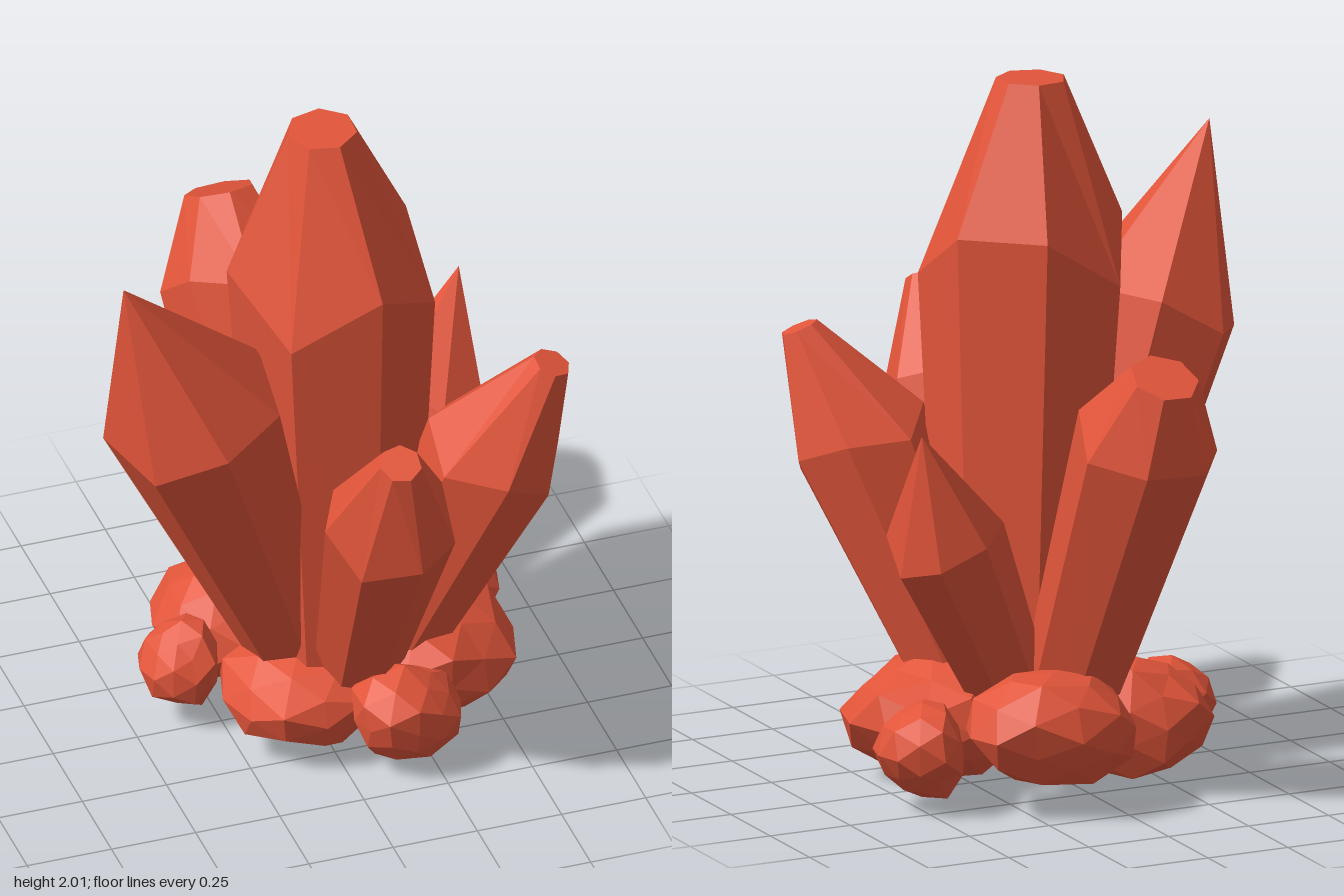
import * as THREE from 'three';

const V = (a) => new THREE.Vector3(...a);

// Faceted crystal: base, shoulder and tip rings; the tip is a flat cut or a point
function crystalGeometry({ base, shoulder, tip, radii, phase, jag }) {
  const sides = 7;
  const b = V(base), s = V(shoulder), t = V(tip);
  const axis = s.clone().sub(b).normalize();
  const u = new THREE.Vector3(1, 0, 0).addScaledVector(axis, -axis.x).normalize();
  const v = u.clone().cross(axis);
  const ring = (center, r, jitter) => Array.from({ length: sides }, (_, i) => {
    const a = THREE.MathUtils.degToRad(phase) + (i / sides) * Math.PI * 2;
    const low = i % 2 === 0 && i < sides - 1;
    return center.clone()
      .addScaledVector(u, r * Math.cos(a))
      .addScaledVector(v, r * Math.sin(a))
      .addScaledVector(axis, jitter * (low ? -1 : 0.4));
  });
  const [lo, mid, hi] = [ring(b, radii[0], 0), ring(s, radii[1], jag), ring(t, radii[2], 0)];
  const pos = [];
  const tri = (...pts) => pts.forEach((p) => pos.push(p.x, p.y, p.z));
  for (let i = 0; i < sides; i++) {
    const j = (i + 1) % sides;
    tri(lo[i], mid[i], mid[j]);
    tri(lo[i], mid[j], lo[j]);
    tri(b, lo[i], lo[j]);
    if (radii[2] > 0) {
      tri(mid[i], hi[i], hi[j]);
      tri(mid[i], hi[j], mid[j]);
      tri(t, hi[j], hi[i]);
    } else {
      tri(mid[i], t, mid[j]);
    }
  }
  const g = new THREE.BufferGeometry();
  g.setAttribute('position', new THREE.Float32BufferAttribute(pos, 3));
  g.computeVertexNormals();
  return g;
}

// Chipped stone: icosphere whose corners are pushed in or out by a position hash
function rockGeometry(size, seed) {
  const g = new THREE.IcosahedronGeometry(1, 1);
  const p = g.attributes.position;
  const q = new THREE.Vector3();
  for (let i = 0; i < p.count; i++) {
    q.fromBufferAttribute(p, i);
    const h = Math.sin(Math.round(q.x * 100) * 1.27 + Math.round(q.y * 100) * 3.11
      + Math.round(q.z * 100) * 7.47 + seed * 5.3);
    q.multiplyScalar(0.95 + 0.1 * h);
    p.setXYZ(i, q.x * size[0], q.y * size[1], q.z * size[2]);
  }
  g.computeVertexNormals();
  return g;
}

export function createModel() {
  const group = new THREE.Group();
  const red = new THREE.MeshStandardMaterial({ color: 0xe2553a });
  red.name = 'coral red';
  red.flatShading = true;

  const add = (name, geometry, position = [0, 0, 0]) => {
    const mesh = new THREE.Mesh(geometry, red);
    mesh.name = name;
    mesh.position.set(...position);
    group.add(mesh);
  };

  // Crystals
  const crystals = {
    centralCrystal: { base: [0.075, 0.15, 0.045], shoulder: [0.04, 1.54, 0.08], tip: [0.02, 2, 0.08],
      radii: [0.22, 0.3, 0.1], phase: 27, jag: 0.11 },
    rightPointedCrystal: { base: [-0.04, 0.2, 0.04], shoulder: [-0.42, 1.24, 0.225], tip: [-0.645, 1.745, 0.3],
      radii: [0.12, 0.258, 0], phase: 32, jag: 0.03 },
    frontCrystal: { base: [0.09, 0.2, 0.16], shoulder: [0.05, 0.98, 0.578], tip: [0.035, 1.27, 0.715],
      radii: [0.12, 0.192, 0.06], phase: 27, jag: 0.04 },
    leftCrystal: { base: [0.2, 0.2, 0.1], shoulder: [0.46, 0.96, 0.285], tip: [0.6, 1.27, 0.38],
      radii: [0.13, 0.205, 0.055], phase: 48, jag: 0.04 },
    backCrystal: { base: [0.02, 0.2, -0.13], shoulder: [-0.02, 1.11, -0.58], tip: [-0.02, 1.31, -0.685],
      radii: [0.14, 0.21, 0.1], phase: -13, jag: 0.03 },
    backLeftPointedCrystal: { base: [0.13, 0.2, -0.06], shoulder: [0.455, 0.8, -0.245], tip: [0.575, 1.13, -0.35],
      radii: [0.11, 0.17, 0], phase: -11, jag: 0.03 },
  };
  for (const [name, spec] of Object.entries(crystals)) add(name, crystalGeometry(spec));

  // Ring of stones around the foot: centre, then half sizes
  const rocks = [
    [[0.165, 0.175, 0.37], [0.17, 0.15, 0.155]],
    [[-0.06, 0.16, 0.13], [0.24, 0.15, 0.26]],
    [[-0.345, 0.175, -0.07], [0.12, 0.14, 0.13]],
    [[-0.16, 0.2, -0.23], [0.21, 0.19, 0.2]],
    [[0.17, 0.235, -0.36], [0.26, 0.185, 0.19]],
    [[0.5, 0.17, -0.2], [0.13, 0.15, 0.145]],
    [[0.32, 0.185, 0.09], [0.26, 0.19, 0.28]],
  ];
  rocks.forEach(([center, size], i) => add(`rock${i + 1}`, rockGeometry(size, i + 1), center));

  return group;
}
